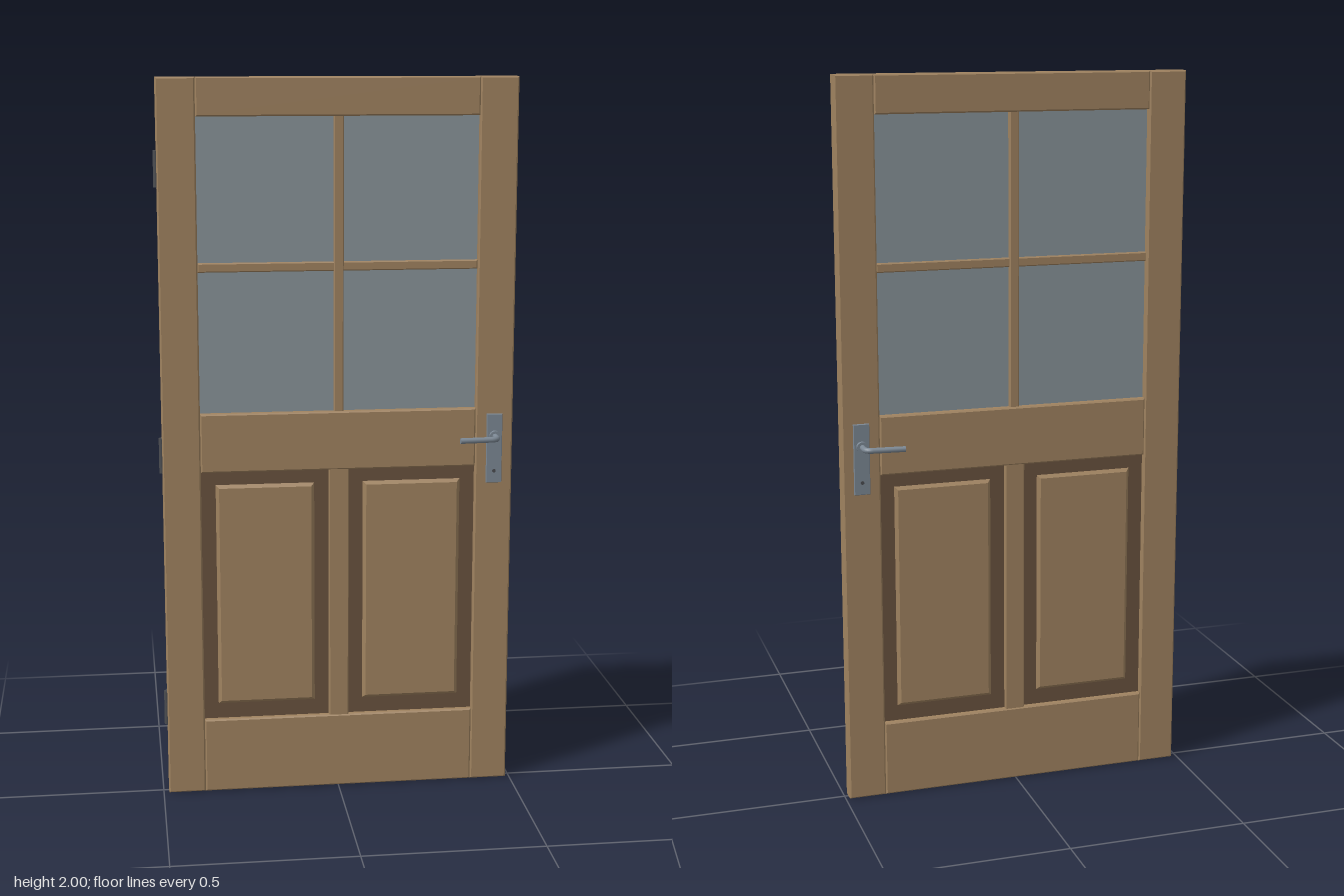
import * as THREE from 'three';

const mat = (name, color) => Object.assign(new THREE.MeshStandardMaterial({ color }), { name });

// Box with chamfered edges, centred on its origin
function chamferBox(w, h, d, b) {
  const x = w / 2 - b, y = h / 2 - b;
  const shape = new THREE.Shape([[-x, -y], [x, -y], [x, y], [-x, y]].map(p => new THREE.Vector2(...p)));
  return new THREE.ExtrudeGeometry(shape, {
    depth: d - 2 * b, bevelThickness: b, bevelSize: b, bevelSegments: 1,
  }).translate(0, 0, b - d / 2);
}

export function createModel() {
  const wood = mat('wood', 0xa08360);
  const darkWood = mat('darkWood', 0x69523e);
  const glass = mat('glass', 0x89949a);
  const metal = mat('metal', 0x7c8894);
  const darkMetal = mat('darkMetal', 0x4a4c50);

  const model = new THREE.Group();
  model.name = 'door';
  const door = new THREE.Group();
  door.name = 'doorLeaf';
  door.position.x = 0.002;
  model.add(door);

  const add = (parent, name, geometry, material, x = 0, y = 0, z = 0) => {
    const mesh = new THREE.Mesh(geometry, material);
    mesh.name = name;
    mesh.position.set(x, y, z);
    parent.add(mesh);
    return mesh;
  };
  // Chamfered board given by its edges
  const board = (name, x0, x1, y0, y1, d, b, material) =>
    add(door, name, chamferBox(x1 - x0, y1 - y0, d, b), material, (x0 + x1) / 2, (y0 + y1) / 2);

  // Frame: stiles and rails
  const T = 0.048, IN = 0.3825;
  board('leftStile', IN, 0.487, 0, 2, T, 0.004, wood);
  board('rightStile', -0.487, -IN, 0, 2, T, 0.004, wood);
  board('topRail', -IN, IN, 1.897, 2, T, 0.004, wood);
  board('lockRail', -IN, IN, 0.932, 1.096, T, 0.004, wood);
  board('bottomRail', -IN, IN, 0, 0.214, T, 0.004, wood);
  board('mullion', -0.028, 0.028, 0.21, 0.936, 0.042, 0.003, wood);

  // Window with crossed glazing bars
  add(door, 'glassPane', new THREE.BoxGeometry(2 * IN, 0.81, 0.008), glass, 0, 1.4965);
  board('verticalGlazingBar', -0.0135, 0.0135, 1.092, 1.9, 0.034, 0.003, wood);
  board('horizontalGlazingBar', -IN, IN, 1.483, 1.508, 0.028, 0.003, wood);

  // Recessed panels with raised fields
  for (const s of [-1, 1]) {
    add(door, 'recessedPanel', new THREE.BoxGeometry(0.358, 0.726, 0.016), darkWood, s * 0.2045, 0.573);
    add(door, 'raisedField', chamferBox(0.274, 0.636, 0.034, 0.009), wood, s * 0.205, 0.576);
  }

  // Hinges on the right edge
  for (const y of [0.25, 0.98, 1.76]) {
    add(door, 'hingeLeaf', new THREE.BoxGeometry(0.004, 0.098, 0.03), darkMetal, -0.487, y);
    add(door, 'hingeKnuckle', new THREE.CylinderGeometry(0.008, 0.008, 0.098, 12), darkMetal, -0.4875, y);
  }

  // Lever handle set, one on each face
  const disc = (r, d) => new THREE.CylinderGeometry(r, r, d, 24).rotateX(Math.PI / 2);
  const lever = new THREE.CurvePath();
  const v = (x, z) => new THREE.Vector3(x, 0, z);
  lever.add(new THREE.LineCurve3(v(0, 0.03), v(0, 0.063)));
  lever.add(new THREE.QuadraticBezierCurve3(v(0, 0.063), v(0, 0.081), v(-0.02, 0.082)));
  lever.add(new THREE.LineCurve3(v(-0.02, 0.082), v(-0.107, 0.0885)));
  for (const s of [1, -1]) {
    const handle = new THREE.Group();
    handle.name = s > 0 ? 'frontHandle' : 'backHandle';
    // The back set is turned over about the lever axis
    handle.position.set(0.435, 1.018, 0);
    if (s < 0) handle.rotation.x = Math.PI;
    add(handle, 'handlePlate', chamferBox(0.044, 0.196, 0.008, 0.0015), metal, 0, -0.036 * s, 0.027);
    add(handle, 'rose', disc(0.015, 0.012), metal, 0, 0, 0.035);
    add(handle, 'lever', new THREE.TubeGeometry(lever, 36, 0.008, 12), metal);
    const end = add(handle, 'leverEnd', new THREE.CircleGeometry(0.008, 12), metal, -0.107, 0, 0.0885);
    end.rotation.y = -Math.PI / 2 + 0.075;
    add(handle, 'keyhole', disc(0.005, 0.003), darkMetal, 0, -0.1 * s, 0.031);
    door.add(handle);
  }
  return model;
}
